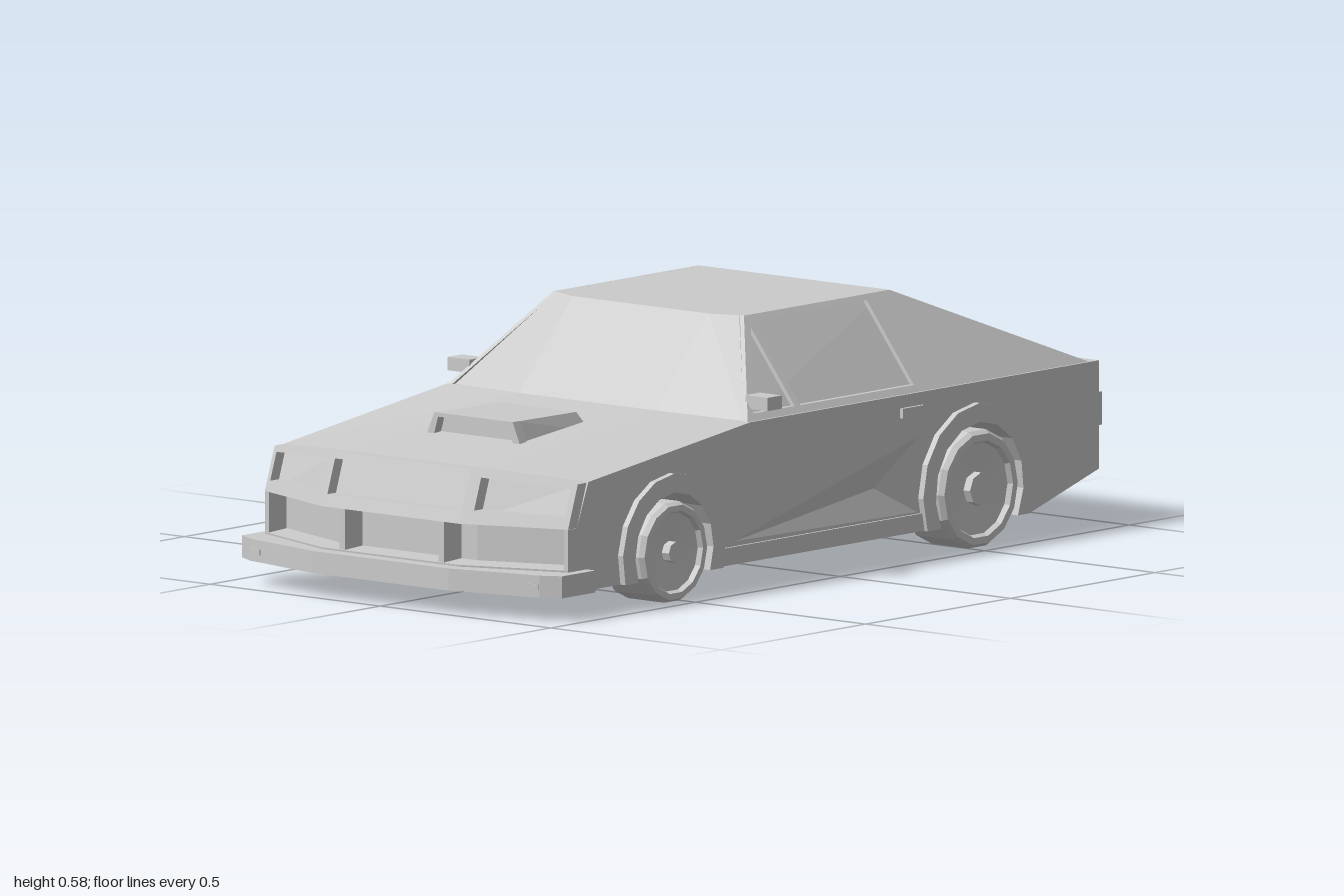
import * as THREE from 'three';
import { ConvexGeometry } from 'three/addons/geometries/ConvexGeometry.js';

const grey = new THREE.MeshStandardMaterial({ color: 0xcccccc, flatShading: true });
const thin = new THREE.MeshStandardMaterial({ color: 0xcccccc, flatShading: true, side: THREE.DoubleSide });
const WHEELS = [
  { name: 'front', z: 0.525, y: 0.115, r: 0.115, arch: 0.135, flare: 0.178, hub: 0.024 },
  { name: 'rear', z: -0.53, y: 0.135, r: 0.135, arch: 0.152, flare: 0.195, hub: 0.038 },
];
const FLOOR = 0.06;

const polygon = (pts, Type = THREE.Shape) => new Type(pts.map(p => new THREE.Vector2(...p)));

// Arc over a wheel as [z, y], running from its rear foot to its front foot at floor height
function archPoints(w, r, n = 10) {
  const dip = Math.asin((w.y - FLOOR) / r);
  return Array.from({ length: n + 1 }, (_, i) => {
    const a = Math.PI + dip - (i / n) * (Math.PI + 2 * dip);
    return [w.z + r * Math.cos(a), w.y + r * Math.sin(a)];
  });
}

// Move every vertex of a geometry by a rule (x, y, z) => [x, y, z]
function bend(geo, rule) {
  const p = geo.attributes.position;
  for (let i = 0; i < p.count; i++) p.setXYZ(i, ...rule(p.getX(i), p.getY(i), p.getZ(i)));
  geo.computeVertexNormals();
  return geo;
}

// Plate with openings, drawn flat and then mapped on to a sloping face; c runs inwards from 0
function panelGeometry(outer, holes, depth, map) {
  const shape = polygon(outer);
  shape.holes = holes.map(h => polygon(h, THREE.Path));
  const geo = new THREE.ExtrudeGeometry(shape, { depth, bevelEnabled: false });
  return bend(geo, (a, b, c) => map(a, b, c - depth));
}

export function createModel() {
  const car = new THREE.Group();
  car.name = 'car';
  const add = (name, geo, mat = grey) => {
    const mesh = new THREE.Mesh(geo, mat);
    mesh.name = name;
    car.add(mesh);
    return mesh;
  };
  const box = (name, w, h, d, x, y, z) => add(name, new THREE.BoxGeometry(w, h, d).translate(x, y, z));
  const pair = (name, geo, mat = grey) => {
    add('left ' + name, geo, mat);
    add('right ' + name, geo, mat).scale.x = -1;
  };
  const hull = pts => new ConvexGeometry(pts.flatMap(([x, y, z]) =>
    [new THREE.Vector3(x, y, z), new THREE.Vector3(-x, y, z)]));

  // Lower body: side profile with arches and a grille slot, swept back at the nose corners
  const door = [[0.3, 0.112], [-0.335, 0.275], [-0.33, 0.105]];
  const profile = [
    [0.96, FLOOR], [0.965, 0.112], [0.9, 0.115], [0.9, 0.2], [0.935, 0.205], [0.895, 0.325],
    [0.285, 0.382], [-0.96, 0.375], [-0.96, 0.13], [-0.73, FLOOR],
    ...archPoints(WHEELS[1], WHEELS[1].arch), ...archPoints(WHEELS[0], WHEELS[0].arch),
  ];
  const flip = pts => pts.map(([z, y]) => [-z, y]);
  const side = polygon(flip(profile));
  side.holes.push(polygon(flip(door), THREE.Path));
  const body = new THREE.ExtrudeGeometry(side, { depth: 0.89, steps: 3, bevelEnabled: false });
  body.translate(0, 0, -0.445).rotateY(Math.PI / 2);
  add('body', bend(body, (x, y, z) => {
    if (Math.abs(x) < 0.3) return [Math.sign(x) * 0.2, y, z];
    if (z > 0.8) return [x, y > 0.3 ? y - 0.02 : y, z - 0.09];
    if (z > 0.2 && y > 0.35) return [x, y - 0.007, z - 0.04];
    return [x, y, z];
  }));

  // Sculpted hollow behind each door, closing the opening in the body side
  const deep = [0.42, 0.17, -0.21];
  const corners = door.map(([z, y]) => [0.445, y, z]);
  const hollow = new THREE.BufferGeometry();
  hollow.setAttribute('position', new THREE.Float32BufferAttribute(
    corners.flatMap((c, i) => [...c, ...corners[(i + 1) % 3], ...deep]), 3));
  hollow.computeVertexNormals();
  pair('door hollow', hollow, thin);

  // Nose panels with openings for the centre grille and headlights
  const nose = (x, y, c) =>
    [x, y, 0.965 - (y - 0.205) * 0.34 - Math.max(0, Math.abs(x) - 0.2) * 0.367 + c];
  add('nose panel', panelGeometry(
    [[-0.2, 0.205], [0.2, 0.205], [0.2, 0.324], [-0.2, 0.324]],
    [[[-0.193, 0.232], [0.193, 0.232], [0.193, 0.31], [-0.193, 0.31]]], 0.03, nose), thin);
  pair('headlight surround', panelGeometry(
    [[0.2, 0.205], [0.445, 0.205], [0.445, 0.304], [0.2, 0.324]],
    [[[0.228, 0.235], [0.432, 0.229], [0.432, 0.292], [0.228, 0.307]]], 0.03, nose), thin);

  // Lower grille dividers and end posts
  pair('grille divider', new THREE.BoxGeometry(0.016, 0.095, 0.065).translate(0.145, 0.157, 0.928));
  pair('grille end post', new THREE.BoxGeometry(0.012, 0.095, 0.07).translate(0.439, 0.157, 0.84));

  // Front bumper with small lamps
  const half = [[0.2, 1], [0.425, 0.95], [0.47, 0.925], [0.47, 0.81]];
  const outline = [...half, ...half.map(([x, z]) => [-x, z]).reverse()];
  const bumper = new THREE.ExtrudeGeometry(polygon(outline), { depth: 0.05, bevelEnabled: false });
  add('front bumper', bumper.rotateX(Math.PI / 2).translate(0, 0.108, 0));
  pair('bumper lamp', new THREE.BoxGeometry(0.036, 0.014, 0.006).rotateY(0.22).translate(0.405, 0.081, 0.954));

  // Rear bar
  box('rear bar', 0.84, 0.075, 0.05, 0, 0.26, -0.975);

  // Cabin core: windscreen, roof and recessed glass
  add('cabin', hull([
    [0.2, 0.38, 0.285], [0.428, 0.37, 0.247], [0.2, 0.58, 0.1], [0.268, 0.58, 0.075],
    [0.268, 0.58, -0.43], [0.268, 0.55, -0.43], [0.428, 0.345, -0.93],
  ]));

  // Cabin sides with door and quarter windows
  pair('cabin side', panelGeometry(
    [[0.25, 0.373], [0.073, 0.58], [-0.43, 0.58], [-0.93, 0.375]],
    [
      [[0.053, 0.39], [0.053, 0.568], [-0.34, 0.568], [-0.34, 0.39]],
      [[0.215, 0.39], [0.072, 0.39], [0.072, 0.555]],
    ], 0.012, (z, y, c) => [0.44 - (y - 0.375) * 0.78 + c, y, z]), thin);

  // Sloping tail with a sunken rear window and a sloped lower lip
  add('rear window frame', panelGeometry(
    [[-0.28, -0.43], [0.28, -0.43], [0.44, -0.93], [-0.44, -0.93]],
    [[[-0.25, -0.475], [0.25, -0.475], [0.375, -0.8], [-0.375, -0.8]]], 0.03, (x, z, c) => {
      const inner = c < -0.01 && Math.abs(z + 0.8) < 0.001 ? z + 0.04 : z;
      return [x, 0.58 + (inner + 0.43) * 0.41 + c, inner];
    }), thin);

  // Hood scoop with an open front
  add('hood scoop', hull([
    [0.133, 0.335, 0.655], [0.112, 0.392, 0.655], [0.133, 0.345, 0.43], [0.112, 0.39, 0.455],
  ]));
  add('scoop mouth', panelGeometry(
    [[-0.14, 0.335], [0.14, 0.335], [0.115, 0.393], [-0.115, 0.393]],
    [[[-0.117, 0.34], [0.117, 0.34], [0.104, 0.384], [-0.104, 0.384]]],
    0.025, (x, y, c) => [x, y, 0.678 + c]), thin);

  // Mirrors, door handles and sills
  pair('mirror', new THREE.BoxGeometry(0.065, 0.03, 0.05).translate(0.437, 0.414, 0.19));
  pair('door handle', new THREE.BoxGeometry(0.014, 0.022, 0.075).translate(0.446, 0.335, -0.31));
  pair('sill', new THREE.BoxGeometry(0.02, 0.04, 0.72).translate(0.441, 0.081, 0.005));

  // Wheels and arch flares
  for (const w of WHEELS) {
    const ring = [...archPoints(w, w.flare), ...archPoints(w, w.arch).reverse()];
    const flare = new THREE.ExtrudeGeometry(polygon(flip(ring)), { depth: 0.03, bevelEnabled: false });
    pair(w.name + ' arch flare', flare.rotateY(Math.PI / 2).translate(0.43, 0, 0));

    const section = [[0, 0.345], [0.85, 0.335], [1, 0.345], [1, 0.452], [0.94, 0.464], [0.82, 0.464], [0.78, 0.452], [0, 0.44]];
    const wheel = new THREE.LatheGeometry(section.map(([r, x]) => new THREE.Vector2(r * w.r, x)), 14);
    pair(w.name + ' wheel', wheel.rotateZ(-Math.PI / 2).translate(0, w.y, w.z));
    const hub = new THREE.CylinderGeometry(w.hub, w.hub, 0.03, 8).rotateZ(Math.PI / 2);
    pair(w.name + ' hub', hub.translate(0.449, w.y, w.z));
  }
  return car;
}
